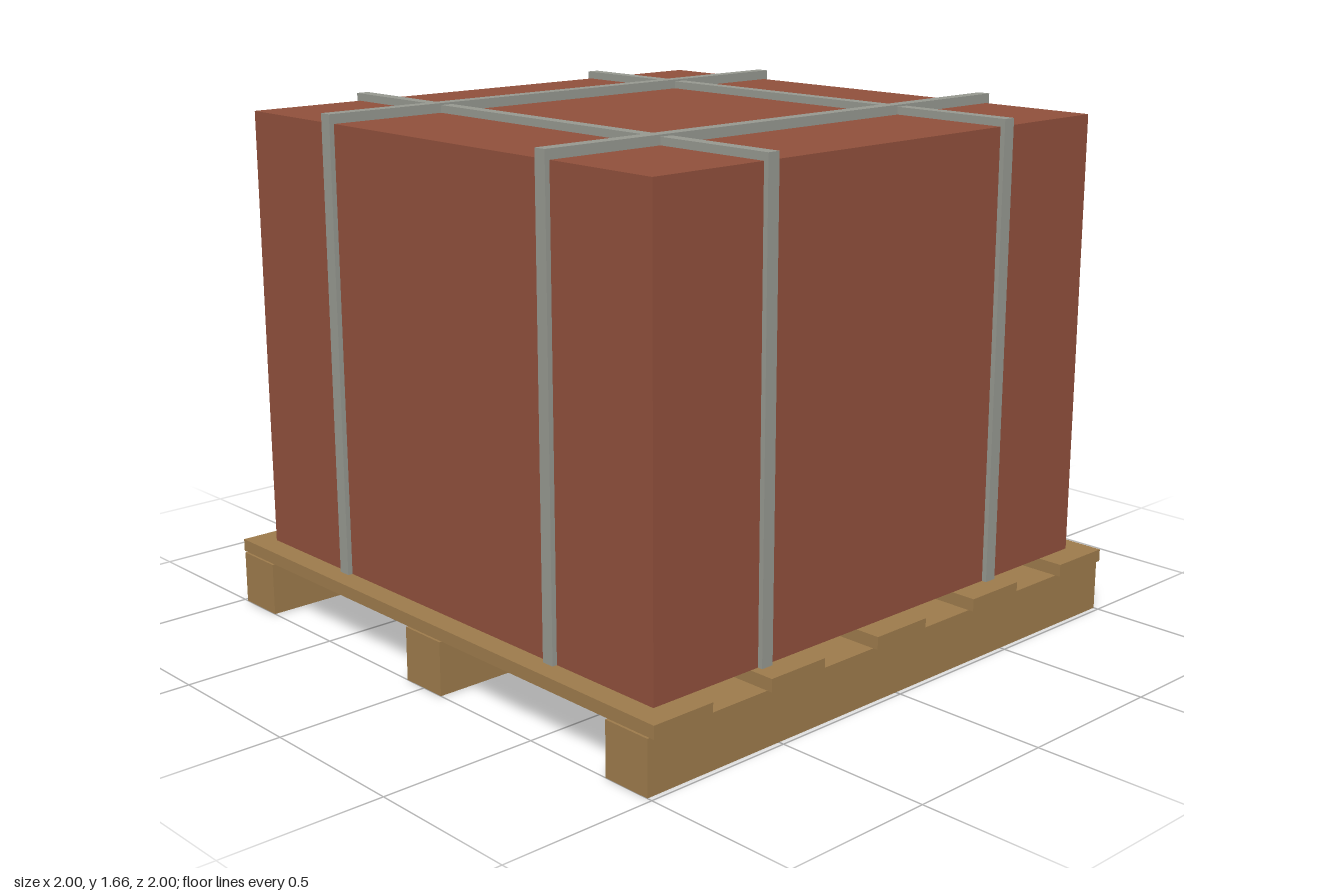
import * as THREE from 'three';

export function createModel() {
  const model = new THREE.Group();
  const wood = new THREE.MeshStandardMaterial({ color: 0x9c7a4b });
  const brick = new THREE.MeshStandardMaterial({ color: 0x8f4f3b });
  const steel = new THREE.MeshStandardMaterial({ color: 0x95978f });

  // Box given by its size and the centre of its underside
  const addBox = (parent, name, material, [w, h, d], [x, y, z]) => {
    const mesh = new THREE.Mesh(new THREE.BoxGeometry(w, h, d), material);
    mesh.name = name;
    mesh.position.set(x, y + h / 2, z);
    parent.add(mesh);
  };

  // Pallet: three runners under five deck planks
  const pallet = new THREE.Group();
  pallet.name = 'pallet';
  for (const x of [-0.9, 0, 0.9]) addBox(pallet, 'runner', wood, [0.166, 0.17, 2], [x, 0, 0]);
  for (let i = -2; i <= 2; i++) addBox(pallet, 'deckPlank', wood, [2, 0.04, 0.216], [0, 0.17, i * 0.442]);
  model.add(pallet);

  // Load standing on the deck
  const deck = 0.21, loadTop = 1.63, half = 0.918;
  addBox(model, 'load', brick, [half * 2, loadTop - deck, half * 2], [0, deck, 0]);

  // Strap band: an upside-down U around the load, extruded to its width
  const addStrap = (offset, reach, top, alongZ) => {
    const band = new THREE.Shape([
      [-reach, deck], [-half, deck], [-half, loadTop], [half, loadTop],
      [half, deck], [reach, deck], [reach, top], [-reach, top],
    ].map(([x, y]) => new THREE.Vector2(x, y)));
    const width = 0.042;
    const geometry = new THREE.ExtrudeGeometry(band, { depth: width, bevelEnabled: false });
    geometry.translate(0, 0, offset - width / 2);
    if (alongZ) geometry.rotateY(Math.PI / 2);
    const mesh = new THREE.Mesh(geometry, steel);
    mesh.name = alongZ ? 'lengthwiseStrap' : 'crosswiseStrap';
    model.add(mesh);
  };
  for (const side of [-0.5, 0.5]) {
    addStrap(side, 0.934, 1.654, false);
    addStrap(side, 0.934, 1.66, true);
  }

  return model;
}
